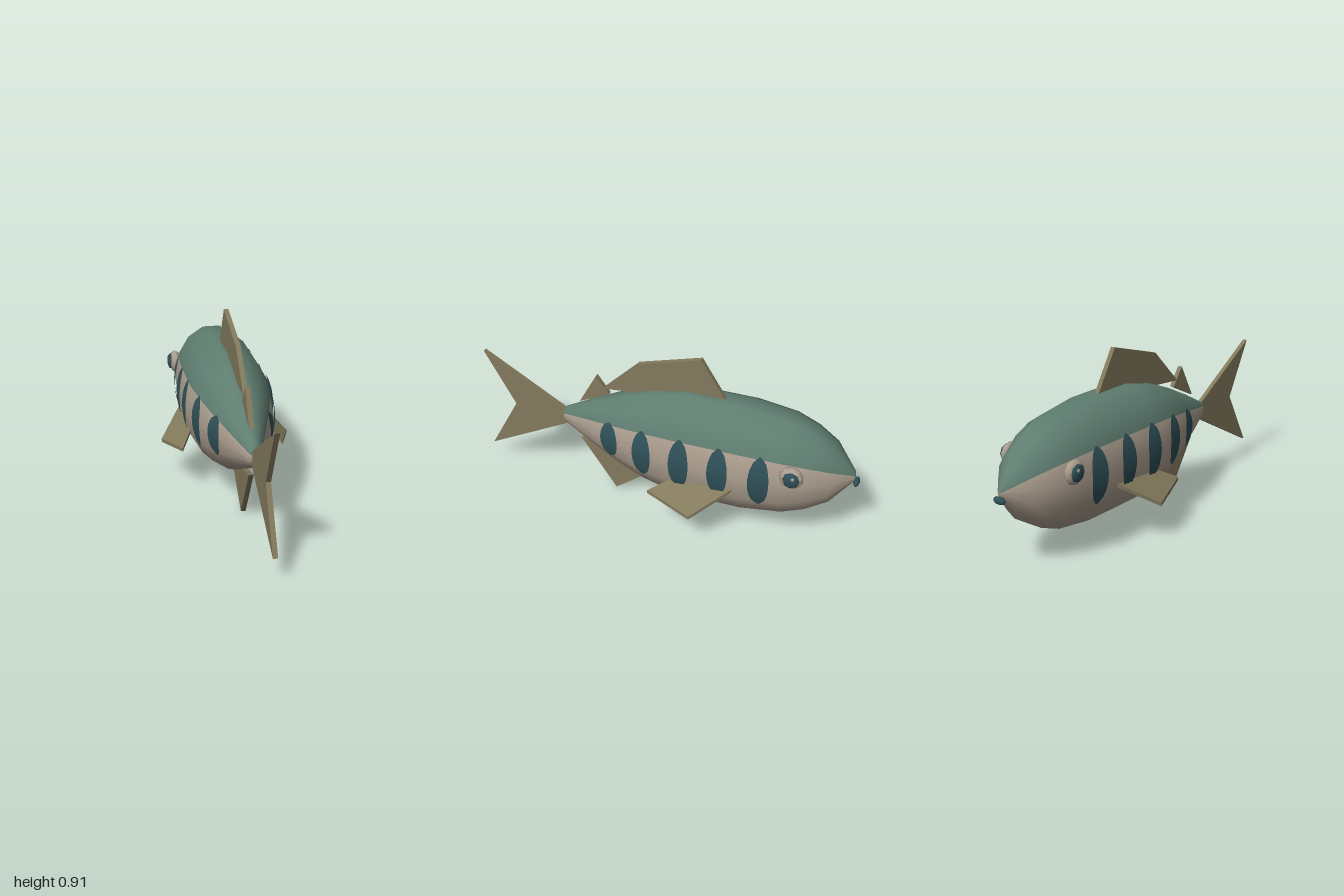
import * as THREE from 'three';

const paint = (name, color, side = THREE.FrontSide) => {
  const m = new THREE.MeshStandardMaterial({ color, side });
  m.name = name;
  return m;
};

// Body rings as [z, vertical radius]; the head points to -z
const RINGS = [[-0.973, 0.028], [-0.866, 0.17], [-0.76, 0.238], [-0.646, 0.282], [-0.437, 0.31],
  [-0.1, 0.31], [0.09, 0.266], [0.22, 0.214], [0.39, 0.132], [0.555, 0.045]];
const SIDES = 14, MID = 0.413, ASPECT = 0.726;

function radiusAt(z) {
  for (let i = 1; i < RINGS.length; i++) {
    const [z0, r0] = RINGS[i - 1], [z1, r1] = RINGS[i];
    if (z <= z1) return r0 + (r1 - r0) * (z - z0) / (z1 - z0);
  }
  return RINGS[RINGS.length - 1][1];
}

// Half width of the body at a height and depth
function sideAt(y, z) {
  const r = radiusAt(z);
  return ASPECT * Math.sqrt(Math.max(0, r * r - (y - MID) ** 2));
}

function bodyGeometry() {
  const last = RINGS.length - 1;
  const rings = [[RINGS[0][0] - 0.006, 0], ...RINGS, [RINGS[last][0], 0]];
  const pos = [], back = [], belly = [];
  for (const [z, r] of rings) {
    for (let k = 0; k < SIDES; k++) {
      const a = (k + 0.5) * 2 * Math.PI / SIDES;
      pos.push(ASPECT * r * Math.sin(a), MID + r * Math.cos(a), z);
    }
  }
  for (let i = 0; i < rings.length - 1; i++) {
    for (let k = 0; k < SIDES; k++) {
      const n = (k + 1) % SIDES;
      const a = i * SIDES + k, b = a + SIDES, c = i * SIDES + n, d = c + SIDES;
      const list = k < 2 || k > 10 ? back : belly;
      if (i > 0) list.push(a, b, c);
      else list.push(a, b, d);
      if (i > 0 && i < rings.length - 2) list.push(b, d, c);
    }
  }
  const g = new THREE.BufferGeometry();
  g.setAttribute('position', new THREE.Float32BufferAttribute(pos, 3));
  g.setIndex([...back, ...belly]);
  g.addGroup(0, back.length, 0);
  g.addGroup(back.length, belly.length, 1);
  g.computeVertexNormals();
  return g;
}

const slab = (points, depth) => new THREE.ExtrudeGeometry(
  new THREE.Shape(points.map(([x, y]) => new THREE.Vector2(x, y))),
  { depth, bevelEnabled: false }).translate(0, 0, -depth / 2);

// Upright fin from [z, y] corners
const uprightFin = (points) =>
  slab(points.map(([z, y]) => [-z, y]), 0.024).rotateY(Math.PI / 2);

// Side fin from [z, x] corners, sloping down and outwards
function sideFin(s) {
  const corners = [[-0.44, 0.185], [-0.4, 0.22], [-0.233, 0.338], [0.01, 0.26], [-0.1, 0.2], [-0.19, 0.15]];
  const g = slab(corners.map(([z, x]) => [z, s * x]), 0.018);
  const p = g.attributes.position;
  for (let i = 0; i < p.count; i++) {
    const z = p.getX(i), x = p.getY(i), t = p.getZ(i);
    p.setXYZ(i, x, 0.325 - 0.834 * (s * x - 0.21) - 0.103 * (z + 0.41) + t, z);
  }
  g.computeVertexNormals();
  return g;
}

// Lens-shaped stripe lying on the flank
function stripeGeometry(s, zc, low, high) {
  const g = new THREE.PlaneGeometry(2, 2, 4, 10);
  const p = g.attributes.position;
  for (let i = 0; i < p.count; i++) {
    const u = p.getX(i), v = p.getY(i);
    const width = 0.046 * Math.pow(Math.max(0, 1 - v * v), 0.6) + 0.006;
    const y = (low + high) / 2 + v * (high - low) / 2;
    const z = zc - s * u * width;
    p.setXYZ(i, s * (sideAt(y, z) + 0.007), y, z);
  }
  g.computeVertexNormals();
  return g;
}

export function createModel() {
  const green = paint('back green', 0x5f7d71);
  const beige = paint('belly beige', 0xad9f90);
  const olive = paint('fin olive', 0x837a5d);
  const teal = paint('dark teal', 0x2f5159, THREE.DoubleSide);

  const fish = new THREE.Group();
  fish.name = 'fish';
  const add = (name, geometry, material) => {
    const m = new THREE.Mesh(geometry, material);
    m.name = name;
    fish.add(m);
    return m;
  };
  const blob = (name, material, center, radii, across = 8) => {
    const g = new THREE.SphereGeometry(1, across, 6).rotateZ(Math.PI / 2);
    const m = add(name, g.scale(...radii), material);
    m.position.set(...center);
  };

  add('body', bodyGeometry(), [green, beige]);

  // Fins along the centre line
  add('tailFin', uprightFin([[0.52, 0.425], [1, 0.71], [0.84, 0.415], [1, 0.12], [0.52, 0.375]]), olive);
  add('dorsalFin', uprightFin([[0.335, 0.63], [0.145, 0.82], [-0.18, 0.916], [-0.32, 0.69]]), olive);
  add('rearDorsalFin', uprightFin([[0.47, 0.52], [0.375, 0.695], [0.305, 0.6]]), olive);
  add('analFin', uprightFin([[0.47, 0.285], [0.28, 0.002], [0.06, 0.175], [0.1, 0.207]]), olive);

  // Nose
  blob('nose', teal, [0, 0.382, -0.984], [0.035, 0.02, 0.016]);

  // Paired parts
  const stripes = [[0.26, 0.31, 0.515], [0.065, 0.28, 0.547], [-0.14, 0.28, 0.563],
    [-0.34, 0.285, 0.563], [-0.545, 0.27, 0.557]];
  for (const [s, label] of [[1, 'left'], [-1, 'right']]) {
    add(label + 'SideFin', sideFin(s), olive);
    stripes.forEach(([z, low, high], i) =>
      add(label + 'Stripe' + (i + 1), stripeGeometry(s, z, low, high), teal));
    blob(label + 'Eye', beige, [s * 0.196, 0.478, -0.7], [0.032, 0.062, 0.062], 10);
    blob(label + 'Pupil', teal, [s * 0.22, 0.48, -0.705], [0.018, 0.045, 0.042]);
    blob(label + 'EyeGlint', beige, [s * 0.234, 0.497, -0.715], [0.005, 0.01, 0.01]);
  }
  return fish;
}
